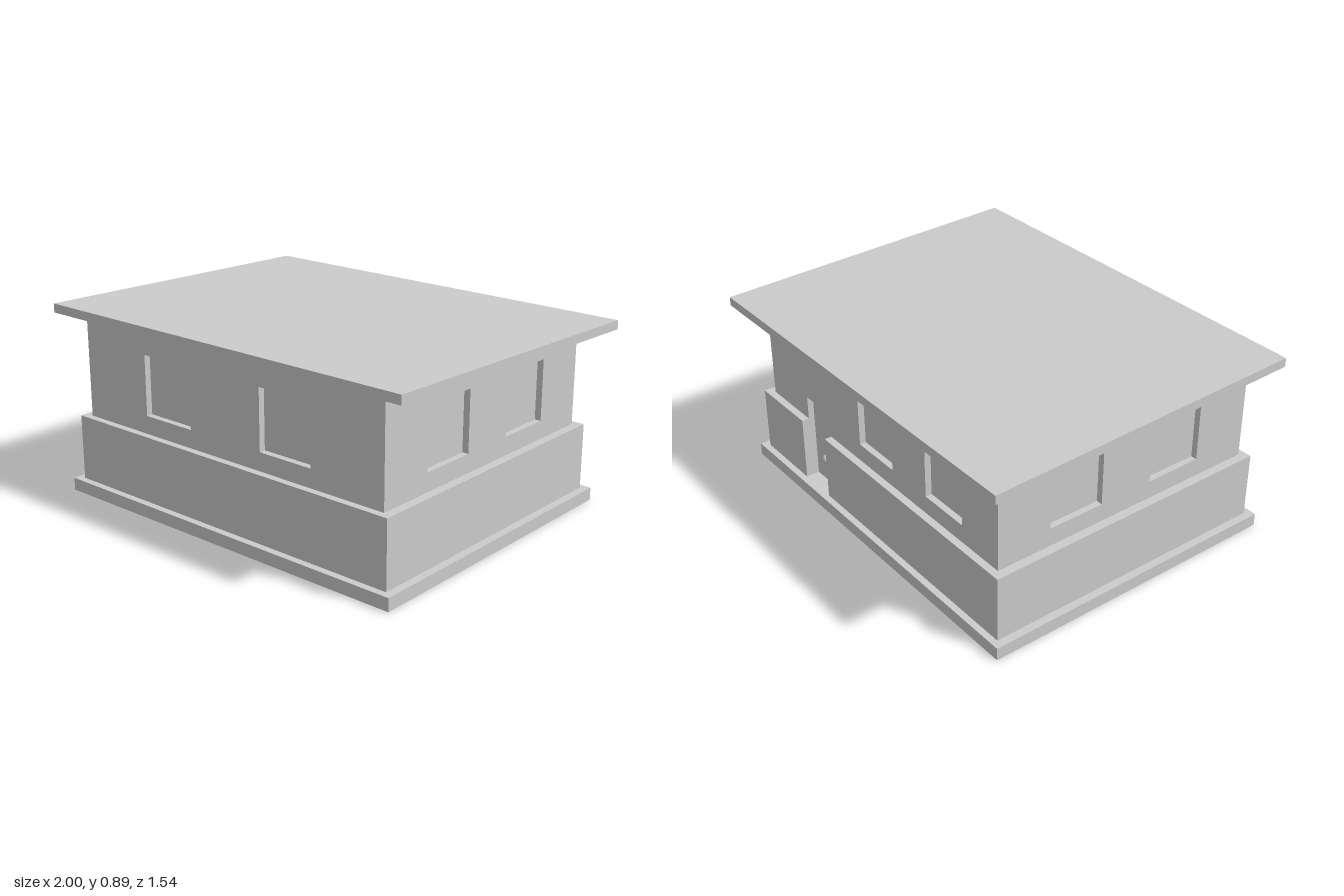
import * as THREE from 'three';

const X = 0.865, ZF = 0.696, ZB = -0.655; // outer faces of the upper walls
const BASE = 0.06, LEDGE = 0.37, RECESS = 0.03;
const SILL = 0.455, HEAD = 0.737;
const DOOR = { x0: 0.365, x1: 0.56, top: 0.485 };

// height of the sloping roof underside at depth z
const roofUnder = z => 0.834 + 0.0246 * z;

const polygon = pts => new THREE.Shape(pts.map(p => new THREE.Vector2(p[0], p[1])));
const extrude = (shape, depth) => new THREE.ExtrudeGeometry(shape, { depth, bevelEnabled: false });

export function createModel() {
  const house = new THREE.Group();
  house.name = 'house';
  const material = new THREE.MeshStandardMaterial({ color: 0xcccccc });

  const add = (name, geometry) => {
    const mesh = new THREE.Mesh(geometry, material);
    mesh.name = name;
    house.add(mesh);
    return mesh;
  };

  // wall slab with window openings, outline in (along, height)
  const wall = (name, outline, windows, angle, x, z) => {
    const shape = polygon(outline);
    for (const [a, b] of windows) {
      shape.holes.push(polygon([[a, SILL], [a, HEAD], [b, HEAD], [b, SILL]]));
    }
    const mesh = add(name, extrude(shape, RECESS));
    mesh.rotation.y = angle;
    mesh.position.set(x, 0, z);
  };

  // foundation slab
  const foundation = add('foundation', new THREE.BoxGeometry(1.89, BASE, 1.483));
  foundation.position.set(0, BASE / 2, 0.0205);

  // thicker lower wall, notched at the back for the doorway; shape y is -z
  const lx = 0.907, lf = -0.729, lb = 0.69, pane = -(ZB + RECESS);
  const lower = add('lowerWall', extrude(polygon([
    [-lx, lf], [lx, lf], [lx, lb], [DOOR.x1, lb], [DOOR.x1, pane],
    [DOOR.x0, pane], [DOOR.x0, lb], [-lx, lb],
  ]), LEDGE - BASE));
  lower.rotation.x = -Math.PI / 2;
  lower.position.y = BASE;

  // inner body: its faces are the window panes and the door
  const cx = X - RECESS, cf = ZF - RECESS, cb = ZB + RECESS;
  const core = add('windowPanesAndDoor', extrude(polygon([
    [-cf, BASE], [-cb, BASE], [-cb, roofUnder(cb) + 0.01], [-cf, roofUnder(cf) + 0.01],
  ]), 2 * cx));
  core.rotation.y = Math.PI / 2;
  core.position.x = -cx;

  // front and back walls
  const topF = roofUnder(ZF) + 0.005, topB = roofUnder(ZB) + 0.005;
  wall('frontWall', [[-X, BASE], [X, BASE], [X, topF], [-X, topF]],
    [[-0.484, -0.204], [0.207, 0.487]], 0, 0, cf);
  wall('backWall', [
    [-X, BASE], [-DOOR.x1, BASE], [-DOOR.x1, DOOR.top], [-DOOR.x0, DOOR.top],
    [-DOOR.x0, BASE], [X, BASE], [X, topB], [-X, topB],
  ], [[-0.118, 0.135], [0.379, 0.632]], Math.PI, 0, cb);

  // mirrored side walls with sloping tops
  for (const s of [1, -1]) {
    const outline = [[-s * cf, BASE], [-s * cb, BASE],
      [-s * cb, roofUnder(cb) + 0.005], [-s * cf, roofUnder(cf) + 0.005]];
    const windows = [[-0.425, -0.15], [0.117, 0.39]].map(w => w.map(u => s * u));
    wall(s > 0 ? 'leftWall' : 'rightWall', outline, windows, s * Math.PI / 2, s * cx, 0);
  }

  // door knob on a short stem
  const knobX = 0.42, knobY = 0.22;
  const stem = add('doorKnobStem', new THREE.CylinderGeometry(0.01, 0.01, 0.03, 16));
  stem.rotation.x = Math.PI / 2;
  stem.position.set(knobX, knobY, cb - 0.01);
  const knob = add('doorKnob', new THREE.SphereGeometry(0.021, 20, 14));
  knob.position.set(knobX, knobY, cb - 0.03);

  // overhanging roof slab, sloping down to the back
  const rz = 0.772, thick = 0.042;
  const roof = add('roof', extrude(polygon([
    [-rz, roofUnder(rz)], [rz, roofUnder(-rz)],
    [rz, roofUnder(-rz) + thick], [-rz, roofUnder(rz) + thick],
  ]), 2));
  roof.rotation.y = Math.PI / 2;
  roof.position.x = -1;

  return house;
}
